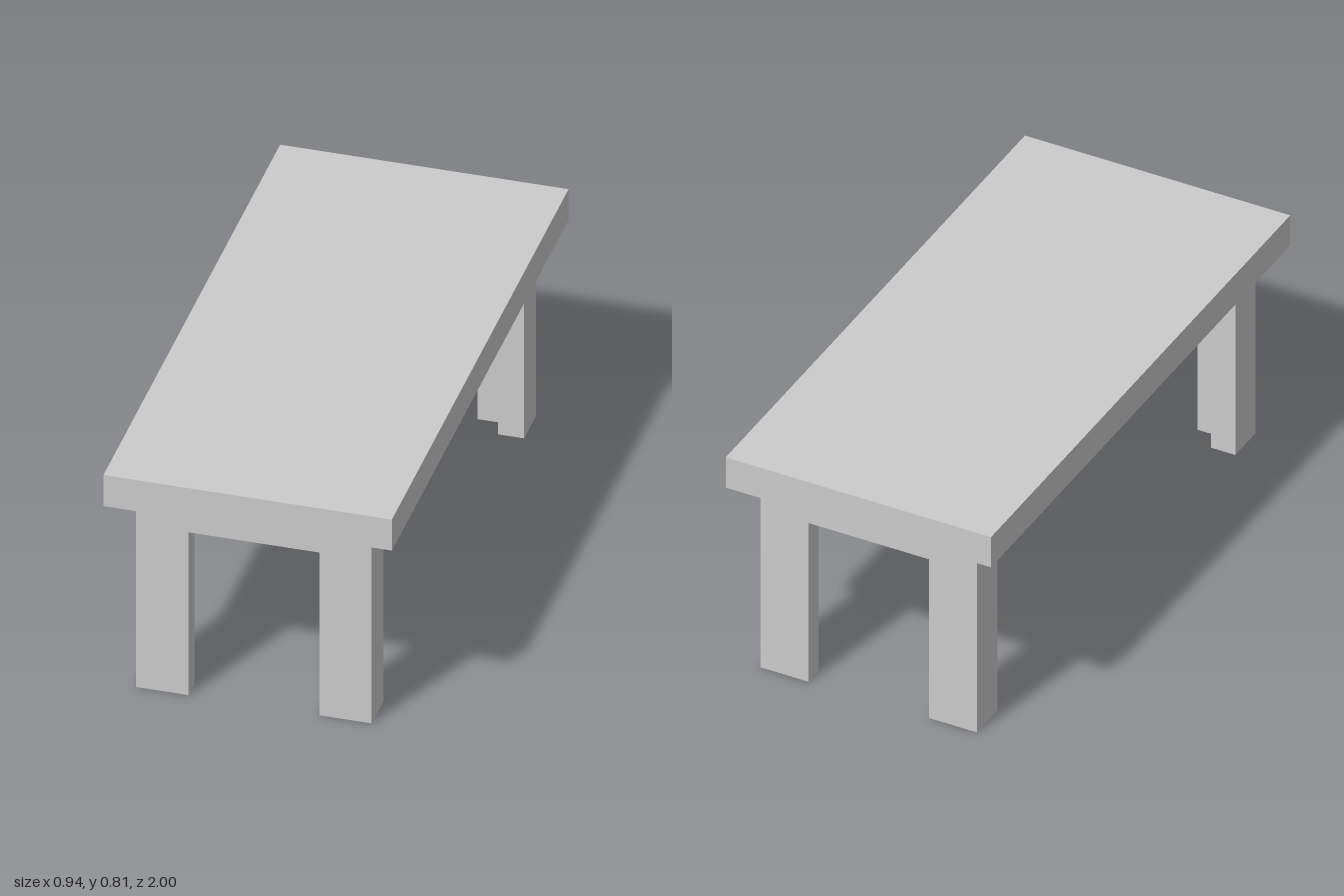
import * as THREE from 'three';

const TOP = 0.813, TOP_UNDER = 0.698, APRON_UNDER = 0.603;
const X = 0.383, Z = 0.93;        // outer half-size of the frame
const LEG_X = 0.17, LEG_Z = 0.135; // leg width along each axis
const TX = LEG_X / 2, TZ = LEG_Z / 2; // board thickness along each axis

const material = new THREE.MeshStandardMaterial({ color: 0xcccccc, flatShading: true });

// Extrude a floor-plan outline upwards from y0 to y1
function prism(name, shape, y0, y1) {
  const geometry = new THREE.ExtrudeGeometry(shape, { depth: y1 - y0, bevelEnabled: false });
  geometry.rotateX(-Math.PI / 2).translate(0, y0, 0);
  const mesh = new THREE.Mesh(geometry, material);
  mesh.name = name;
  return mesh;
}

const outline = (points) => new THREE.Shape(points.map(([x, z]) => new THREE.Vector2(x, -z)));
// Counter-clockwise, so that both the rim and the hole walls face outwards
const rectangle = (x, z) => outline([[-x, z], [x, z], [x, -z], [-x, -z]]);

export function createModel() {
  const table = new THREE.Group();
  table.name = 'table';

  // Solid top
  const top = new THREE.Mesh(new THREE.BoxGeometry(0.938, TOP - TOP_UNDER, 2), material);
  top.name = 'tableTop';
  top.position.y = (TOP + TOP_UNDER) / 2;
  table.add(top);

  // Apron ring, open in the middle
  const ring = rectangle(X, Z);
  ring.holes.push(rectangle(X - TX, Z - TZ));
  table.add(prism('apron', ring, APRON_UNDER, TOP_UNDER));

  // Four legs with an L-shaped section, hollow corner facing inwards
  for (const [sx, side] of [[1, 'Left'], [-1, 'Right']]) {
    for (const [sz, end] of [[1, 'front'], [-1, 'back']]) {
      const section = [
        [X, Z], [X - LEG_X, Z], [X - LEG_X, Z - TZ],
        [X - TX, Z - TZ], [X - TX, Z - LEG_Z], [X, Z - LEG_Z],
      ].map(([x, z]) => [x * sx, z * sz]);
      table.add(prism(`${end}${side}Leg`, outline(section), 0, APRON_UNDER));
    }
  }
  return table;
}
